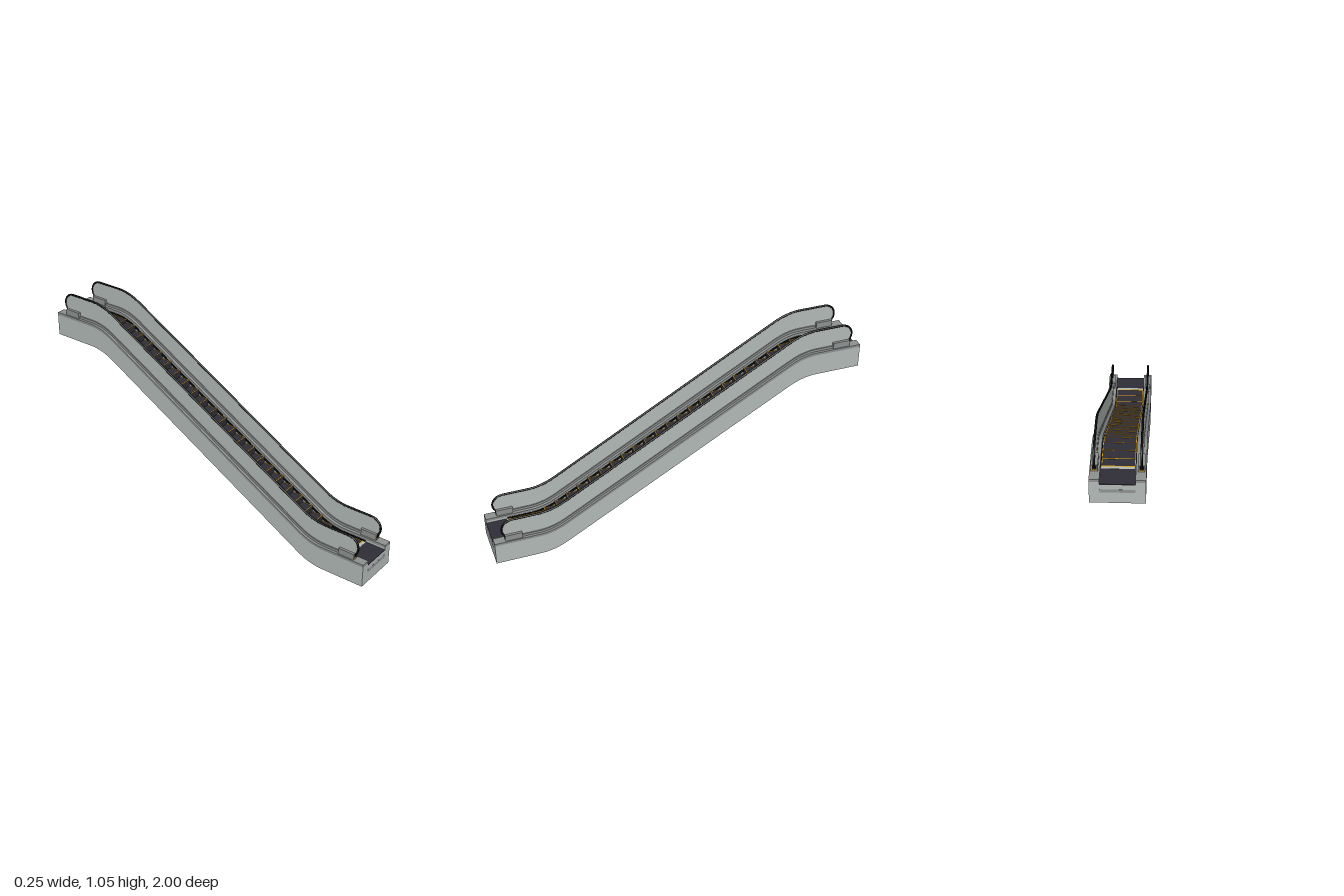
import * as THREE from 'three';
import { toCreasedNormals } from 'three/addons/utils/BufferGeometryUtils.js';

const mat = (name, color, side = THREE.FrontSide) => {
  const m = new THREE.MeshStandardMaterial({ color, side });
  m.name = name;
  return m;
};

// Incline: flat landings joined by a 30 degree slope with eased bends
const BEND = 0.685, EASE = 0.075, SLOPE = Math.tan(Math.PI / 6);
const ramp = t => (t < -EASE ? 0 : t > EASE ? t : (t + EASE) ** 2 / (4 * EASE));
const rise = z => SLOPE * (ramp(BEND - z) - ramp(-BEND - z));
const RISE = rise(-1);

// z stations from front to back, dense only in the bends
function stations(z0, z1) {
  const zs = [z0];
  for (const c of [BEND, -BEND])
    for (let i = 0; i <= 12; i++) zs.push(c + EASE * (1 - i / 6));
  zs.push(z1);
  return zs;
}

// Extrude a (z, y) outline across x0..x1
function sideExtrude(points, x0, x1) {
  const geo = new THREE.ExtrudeGeometry(new THREE.Shape(points), { depth: x1 - x0, bevelEnabled: false });
  geo.rotateY(-Math.PI / 2).translate(x1, 0, 0);
  return toCreasedNormals(geo, 0.4);
}

// Band of constant height that follows the incline
function band(x0, x1, low, high, z0 = 1, z1 = -1) {
  const zs = stations(z0, z1);
  const bottom = zs.map(z => new THREE.Vector2(z, rise(z) + low));
  const top = zs.map(z => new THREE.Vector2(z, rise(z) + high)).reverse();
  return sideExtrude([...bottom, ...top], x0, x1);
}

// Handrail line: curled front end, incline, curled back end
function railLine() {
  const pts = [], r = 0.057, c = 0.897, n = 14;
  const curl = (i, sign, y) => {
    const a = -Math.PI / 3 + (i / n) * (Math.PI * 5 / 6);
    return new THREE.Vector2(sign * (c + r * Math.cos(a)), y + r * Math.sin(a));
  };
  for (let i = 0; i <= n; i++) pts.push(curl(i, 1, 0.196));
  for (const z of stations(0.8, -0.8)) pts.push(new THREE.Vector2(z, rise(z) + 0.253));
  for (let i = n; i >= 0; i--) pts.push(curl(i, -1, RISE + 0.196));
  return pts;
}

export function createModel() {
  const M = {
    cladding: mat('brushed cladding', 0xb3bab8),
    trim: mat('grey trim', 0x8e9291),
    glass: mat('balustrade panel', 0xb3bab8),
    step: mat('dark step', 0x2f2e37),
    rubber: mat('black rubber', 0x0b0b0c),
    yellow: mat('safety yellow', 0xdc9c10),
  };
  const root = new THREE.Group();
  root.name = 'escalator';
  const add = (name, geo, material, parent = root) => {
    const mesh = new THREE.Mesh(geo, material);
    mesh.name = name;
    parent.add(mesh);
    return mesh;
  };
  const box = (name, material, w, h, d, x, y, z, parent = root) =>
    add(name, new THREE.BoxGeometry(w, h, d), material, parent).position.set(x, y, z);

  // Truss under the steps
  add('trussBody', band(-0.08, 0.08, 0, 0.08), M.cladding);

  // Sides: cladding, deck, skirt brush, balustrade and handrail
  const line = railLine();
  const sill = stations(0.9, -0.9).map(z => new THREE.Vector2(z, rise(z) + 0.132)).reverse();
  const path = new THREE.CatmullRomCurve3(line.map(p => new THREE.Vector3(0, p.y, p.x)), false, 'centripetal');
  for (const s of [1, -1]) {
    const side = new THREE.Group();
    side.name = s > 0 ? 'leftSide' : 'rightSide';
    root.add(side);
    const span = (a, b) => (s > 0 ? [a, b] : [-b, -a]);
    add('sideCladding', band(...span(0.08, 0.127), 0, 0.117), M.cladding, side);
    add('deck', band(...span(0.08, 0.127), 0.117, 0.131), M.trim, side);
    add('skirtBrush', band(...span(0.0775, 0.0805), 0.1, 0.115, 0.885, -0.885), M.rubber, side);
    add('balustradeBase', band(...span(0.097, 0.113), 0.13, 0.145, 0.87, -0.87), M.trim, side);
    add('balustradePanel', sideExtrude([...line, ...sill], ...span(0.1025, 0.1075)), M.glass, side);
    add('handrail', new THREE.TubeGeometry(path, 220, 0.0055, 8), M.rubber, side).position.x = s * 0.105;

    // Handrail inlet boxes at both landings
    for (const e of [1, -1]) {
      const y = e > 0 ? 0 : RISE;
      box('inletBox', M.trim, 0.032, 0.035, 0.09, s * 0.105, y + 0.1475, e * 0.895, side);
      box('inletOpening', M.rubber, 0.02, 0.02, 0.002, s * 0.105, y + 0.151, e * 0.9405, side);
      box('inletMark', M.yellow, 0.02, 0.005, 0.002, s * 0.105, y + 0.138, e * 0.9405, side);
    }
  }

  // Landings: end block, floor plate, comb and end panel slot
  for (const e of [1, -1]) {
    const y = e > 0 ? 0 : RISE;
    const landing = new THREE.Group();
    landing.name = e > 0 ? 'lowerLanding' : 'upperLanding';
    root.add(landing);
    box('endBlock', M.cladding, 0.16, 0.022, 0.12, 0, y + 0.091, e * 0.94, landing);
    box('floorPlate', M.step, 0.16, 0.004, 0.11, 0, y + 0.104, e * 0.945, landing);
    box('combPlate', M.cladding, 0.16, 0.006, 0.015, 0, y + 0.104, e * 0.8825, landing);
    box('combMark', M.yellow, 0.155, 0.001, 0.006, 0, y + 0.1065, e * 0.872, landing);
    box('endSlot', M.trim, 0.16, 0.017, 0.002, 0, y + 0.068, e * 0.9995, landing);
  }

  // Steps with yellow edge lines
  const count = 28, pitch = 1.75 / count;
  for (let i = 0; i < count; i++) {
    const z = 0.875 - (i + 0.5) * pitch;
    const step = new THREE.Group();
    step.name = 'step';
    step.position.set(0, rise(z) + 0.105, z);
    root.add(step);
    box('tread', M.step, 0.157, 0.045, pitch, 0, -0.0225, 0, step);
    box('frontEdgeLine', M.yellow, 0.155, 0.001, 0.004, 0, 0.0004, pitch / 2 - 0.002, step);
    for (const s of [1, -1])
      box('sideEdgeLine', M.yellow, 0.003, 0.001, pitch, s * 0.0755, 0.0003, 0, step);
  }
  return root;
}
